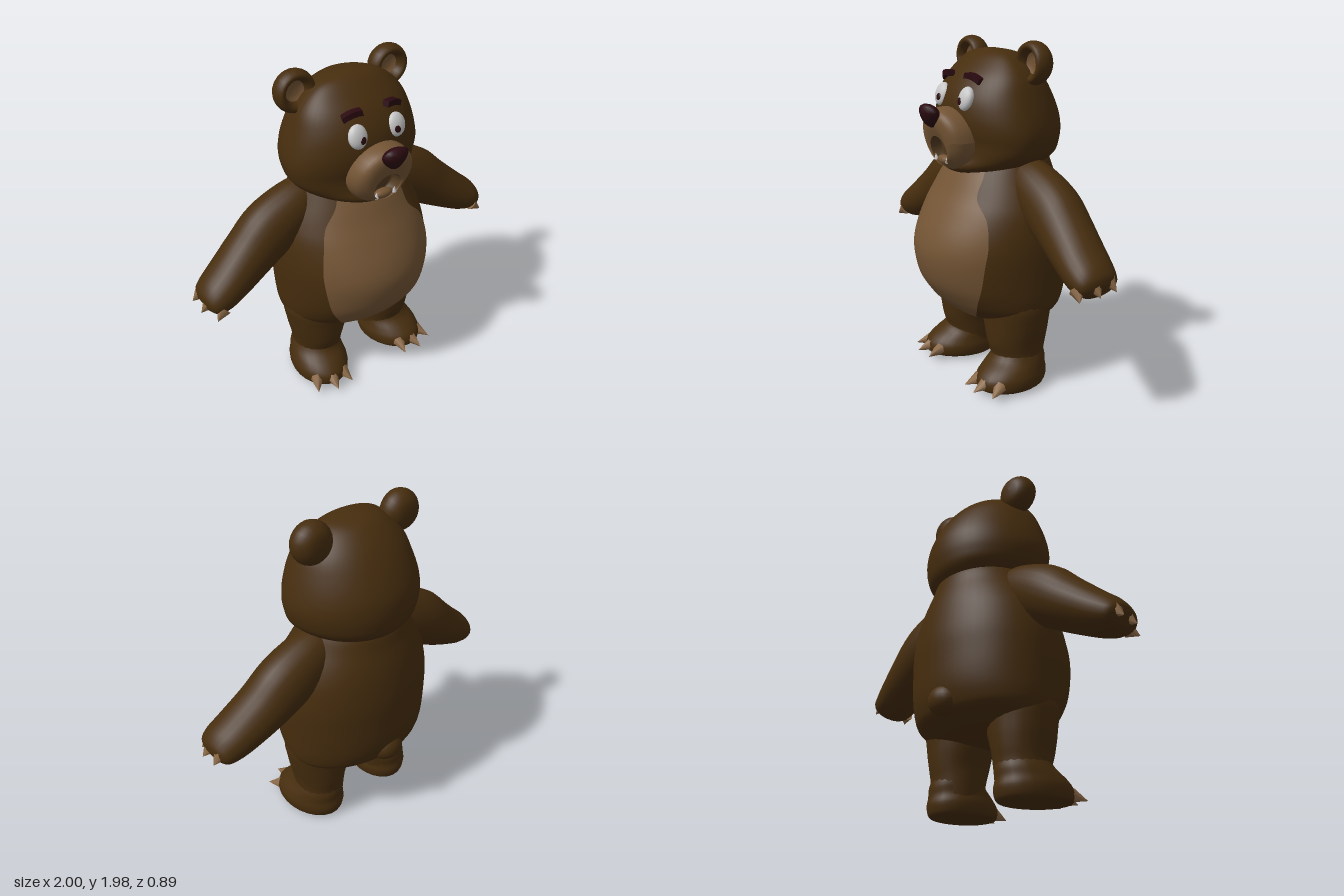
import * as THREE from 'three';

const mat = (name, hex) => {
  const m = new THREE.MeshStandardMaterial({ color: hex });
  m.name = name;
  return m;
};

// Catmull-Rom refinement of rows of numbers
function smooth(rows, steps = 4) {
  const out = [];
  for (let i = 0; i < rows.length - 1; i++) {
    const p0 = rows[Math.max(i - 1, 0)], p1 = rows[i], p2 = rows[i + 1];
    const p3 = rows[Math.min(i + 2, rows.length - 1)];
    for (let k = 0; k < steps; k++) {
      const t = k / steps;
      out.push(p1.map((b, c) => {
        const a = p0[c], d = p2[c], e = p3[c];
        return b + 0.5 * t * (d - a + t * (2 * a - 5 * b + 4 * d - e + t * (3 * (b - d) + e - a)));
      }));
    }
  }
  out.push(rows[rows.length - 1]);
  return out;
}

// Skin over rings of points; closed rings are capped at both ends
function skin(rings, closed = true) {
  const n = rings[0].length, pos = [], idx = [];
  rings.forEach(r => r.forEach(p => pos.push(...p)));
  for (let i = 0; i < rings.length - 1; i++) {
    for (let j = 0; j < (closed ? n : n - 1); j++) {
      const k = (j + 1) % n, a = i * n + j, b = i * n + k, c = b + n, d = a + n;
      idx.push(a, b, c, a, c, d);
    }
  }
  if (closed) {
    [0, rings.length - 1].forEach((i, end) => {
      const mid = [0, 1, 2].map(c => rings[i].reduce((s, p) => s + p[c], 0) / n);
      const m = pos.length / 3;
      pos.push(...mid);
      for (let j = 0; j < n; j++) {
        const a = i * n + j, b = i * n + (j + 1) % n;
        end ? idx.push(a, b, m) : idx.push(b, a, m);
      }
    });
  }
  const g = new THREE.BufferGeometry();
  g.setAttribute('position', new THREE.Float32BufferAttribute(pos, 3));
  g.setIndex(idx);
  g.computeVertexNormals();
  return g;
}

const ring = (n, f) => Array.from({ length: n }, (_, j) => {
  const a = j / n * Math.PI * 2;
  return f(Math.cos(a), Math.sin(a));
});

// Upright loft: rows of height, half width, front depth, back depth; widest at z = cz
const upright = (rows, cz) => skin(rows.map(([y, rx, zf, zb]) =>
  ring(48, (c, s) => [rx * s, y, cz + (c > 0 ? zf - cz : zb + cz) * c])));

// Upright loft with moving centre: rows of y, cx, cz, rx, rz
const limb = rows => skin(smooth(rows).map(([y, cx, cz, rx, rz]) =>
  ring(24, (c, s) => [cx + rx * s, y, cz + rz * c])));

const ball = (x, y, z, sx, sy, sz, tilt = 0) =>
  new THREE.SphereGeometry(1, 20, 14).scale(sx, sy, sz).rotateX(tilt).translate(x, y, z);

// Cone with its base near a point, aimed along a direction
function spike(r, len, base, dir) {
  const d = new THREE.Vector3(...dir).normalize();
  const q = new THREE.Quaternion().setFromUnitVectors(new THREE.Vector3(0, 1, 0), d);
  return new THREE.ConeGeometry(r, len, 7).translate(0, len / 2, 0)
    .applyQuaternion(q).translate(...base);
}

function mirrored(geo) {
  const g = geo.clone().scale(-1, 1, 1), ix = g.index.array;
  for (let i = 0; i < ix.length; i += 3) [ix[i], ix[i + 1]] = [ix[i + 1], ix[i]];
  return g;
}

export function createModel() {
  const bear = new THREE.Group();
  bear.name = 'bear';
  const fur = mat('brown fur', 0x462d0e), tan = mat('tan fur', 0x735434);
  const claw = mat('claw', 0x8c6a48), white = mat('eye white', 0xc6c6c6);
  const dark = mat('dark maroon', 0x2a0a10), mouth = mat('mouth brown', 0x543c22);
  const add = (name, geo, m) => {
    const mesh = new THREE.Mesh(geo, m);
    mesh.name = name;
    bear.add(mesh);
  };
  const pair = (name, geo, m) => {
    add('left ' + name, geo, m);
    add('right ' + name, mirrored(geo), m);
  };

  // Torso: y, half width, front, back, belly patch width on the right and left
  const torsoZ = -0.05;
  const torso = smooth([
    [0.37, 0.02, 0.02, 0.09, 0, 0], [0.385, 0.2, 0.12, 0.15, 0.08, 0.08],
    [0.42, 0.36, 0.21, 0.25, 0.15, 0.15], [0.48, 0.435, 0.29, 0.36, 0.23, 0.23],
    [0.55, 0.457, 0.35, 0.4, 0.28, 0.28], [0.65, 0.465, 0.41, 0.42, 0.33, 0.33],
    [0.8, 0.472, 0.44, 0.425, 0.36, 0.36], [0.92, 0.47, 0.415, 0.425, 0.362, 0.362],
    [1.05, 0.45, 0.35, 0.41, 0.335, 0.32], [1.15, 0.41, 0.29, 0.39, 0.3, 0.228],
    [1.25, 0.355, 0.235, 0.36, 0.225, 0.21], [1.35, 0.3, 0.17, 0.33, 0.18, 0.18],
    [1.42, 0.24, 0.12, 0.25, 0.15, 0.15]]);
  add('body', upright(torso, torsoZ), fur);

  // Belly patch hugging the torso front
  const patch = torso.filter(r => r[0] > 0.38 && r[0] < 1.34).map(([y, rx, zf, , wr, wl]) => {
    const a0 = -Math.asin(wr / rx), a1 = Math.asin(wl / rx);
    return Array.from({ length: 25 }, (_, j) => {
      const a = a0 + (a1 - a0) * j / 24;
      return [rx * Math.sin(a) * 1.003, y - (y < 0.43 ? 0.004 : 0),
        torsoZ + (zf - torsoZ) * Math.cos(a) + 0.006];
    });
  });
  add('belly', skin(patch, false), tan);
  add('tail', ball(0, 0.55, -0.36, 0.1, 0.085, 0.082), fur);

  // Head
  add('head', upright(smooth([
    [1.25, 0.04, 0.12, 0.05], [1.262, 0.17, 0.24, 0.2], [1.3, 0.285, 0.28, 0.31],
    [1.36, 0.365, 0.256, 0.375], [1.43, 0.395, 0.25, 0.395], [1.5, 0.402, 0.265, 0.4],
    [1.58, 0.387, 0.272, 0.39], [1.68, 0.356, 0.255, 0.35], [1.78, 0.315, 0.2, 0.29],
    [1.86, 0.245, 0.125, 0.22], [1.91, 0.16, 0.065, 0.145], [1.932, 0.03, 0.01, 0.03]]), 0), fur);

  // Muzzle and mouth cavity: centre y, half width, half height, z
  const snout = rows => skin(smooth(rows, 3).map(([cy, rx, ry, z]) =>
    ring(32, (c, s) => [rx * c, cy + ry * s, z + (cy + ry * s - 1.45) * 0.24])));
  const lip = [1.39, 0.085, 0.082, 0.35], throat = [1.39, 0.065, 0.06, 0.288];
  add('mouth', snout([[1.39, 0.08, 0.077, 0.284], throat]), mouth);
  const muzzle = smooth([
    [1.45, 0.185, 0.175, 0.2], [1.45, 0.19, 0.178, 0.25], [1.45, 0.178, 0.17, 0.31],
    [1.45, 0.145, 0.142, 0.345], [1.42, 0.104, 0.11, 0.358], lip], 3)
    .map(([cy, rx, ry, z]) => ring(32, (c, s) =>
      [rx * c, cy + ry * s, z + (cy + ry * s - 1.45) * 0.24]));
  // Repeating the first point closes the open-ended surface
  add('muzzle', skin(muzzle.map(r => [...r, r[0]]), false), tan);
  const cavity = [lip, [1.39, 0.082, 0.078, 0.325], [1.39, 0.078, 0.074, 0.295], throat]
    .map(([cy, rx, ry, z]) => ring(32, (c, s) =>
      [rx * c, cy + ry * s, z + (cy + ry * s - 1.45) * 0.24]));
  add('mouth lining', skin(cavity.map(r => [...r, r[0]]), false), mouth);
  add('tongue', ball(0, 1.335, 0.3, 0.06, 0.026, 0.03), tan);
  pair('tooth', spike(0.014, 0.035, [0.06, 1.33, 0.318], [0, 1, 0.1]), white);

  // Nose: ball narrowed toward the bottom and pushed forward at the top
  const nose = new THREE.SphereGeometry(1, 14, 10);
  const np = nose.attributes.position;
  for (let i = 0; i < np.count; i++) {
    const x = np.getX(i), y = np.getY(i), z = np.getZ(i);
    np.setXYZ(i, x * 0.092 * (0.78 + 0.4 * y), 1.585 + y * 0.067,
      0.385 + z * 0.055 * (1 - 0.3 * x * x) + y * 0.02);
  }
  nose.computeVertexNormals();
  add('nose', nose, dark);

  // Eyes and brows
  pair('eye', ball(0.123, 1.68, 0.235, 0.056, 0.066, 0.034, -0.3), white);
  pair('pupil', ball(0.112, 1.67, 0.267, 0.02, 0.022, 0.007, -0.25), dark);
  const brow = new THREE.BoxGeometry(0.11, 0.032, 0.04, 6, 1, 1);
  const bp = brow.attributes.position;
  for (let i = 0; i < bp.count; i++) {
    const x = bp.getX(i);
    bp.setY(i, bp.getY(i) - 4 * x * x);
    bp.setZ(i, bp.getZ(i) - 2 * x * x);
  }
  brow.computeVertexNormals();
  pair('brow', brow.rotateZ(-0.25).rotateY(0.25).translate(0.132, 1.795, 0.195), dark);

  // Ears: cupped shell with a tan lining
  const lathe = pts => new THREE.LatheGeometry(
    smooth(pts, 3).map(p => new THREE.Vector2(Math.max(p[0], 0), p[1])), 24)
    .rotateX(Math.PI / 2).translate(0.3, 1.865, -0.09);
  pair('ear', lathe([[0, -0.075], [0.065, -0.066], [0.106, -0.03], [0.118, 0.015],
    [0.104, 0.056], [0.082, 0.06], [0.064, 0.035], [0.058, 0.015]]), fur);
  pair('inner ear', lathe([[0.058, 0.015], [0.035, 0.004], [0, 0]]), tan);

  // Arms: centre x, y, z, half thickness, half depth
  const path = smooth([
    [0.22, 1.25, -0.07, 0.12, 0.11], [0.34, 1.19, -0.07, 0.156, 0.138],
    [0.5, 1.1, -0.07, 0.172, 0.152], [0.64, 1.0, -0.06, 0.15, 0.152],
    [0.8, 0.895, -0.035, 0.122, 0.148], [0.89, 0.845, -0.022, 0.104, 0.138],
    [0.945, 0.82, -0.02, 0.074, 0.115], [0.968, 0.81, -0.02, 0.03, 0.06]]);
  pair('arm', skin(path.map(([x, y, z, h, d], i) => {
    const p = path[Math.max(i - 1, 0)], q = path[Math.min(i + 1, path.length - 1)];
    const len = Math.hypot(q[0] - p[0], q[1] - p[1]);
    const ux = -(q[1] - p[1]) / len, uy = (q[0] - p[0]) / len;
    return ring(24, (c, s) => [x + ux * h * c, y + uy * h * c, z + d * s]);
  })), fur);
  [[0.945, 0.84, -0.08, -0.1], [0.945, 0.83, 0.015, 0.05], [0.9, 0.805, 0.085, 0.4]]
    .forEach(([x, y, z, dz], i) => pair('hand claw ' + (i + 1),
      spike(0.042, 0.07, [x, y, z], [0.75, -0.6, dz]), claw));

  // Legs
  pair('leg', limb([[0.08, 0.26, -0.03, 0.145, 0.15], [0.2, 0.25, -0.025, 0.15, 0.16],
    [0.28, 0.25, -0.02, 0.16, 0.178], [0.4, 0.245, -0.02, 0.19, 0.19],
    [0.55, 0.24, -0.02, 0.205, 0.19], [0.65, 0.2, -0.02, 0.12, 0.1]]), fur);

  // Feet, splayed slightly outward, with three claws each
  const place = g => g.rotateX(-0.05).rotateY(0.15).translate(0.27, 0, 0);
  pair('foot', place(limb([[0.012, 0, 0.035, 0.13, 0.19], [0.025, 0, 0.04, 0.163, 0.225],
    [0.08, 0, 0.035, 0.173, 0.232], [0.13, 0, 0.02, 0.162, 0.205],
    [0.18, -0.005, -0.012, 0.15, 0.172], [0.23, -0.015, -0.02, 0.14, 0.15]])), fur);
  [-0.5, 0, 0.55].forEach((a, i) => pair('toe claw ' + (i + 1), place(
    spike(0.042, 0.1, [0.165 * Math.sin(a), 0.06, 0.03 + 0.21 * Math.cos(a)],
      [Math.sin(a) * 0.6, -0.3, Math.cos(a)])), claw));

  return bear;
}
